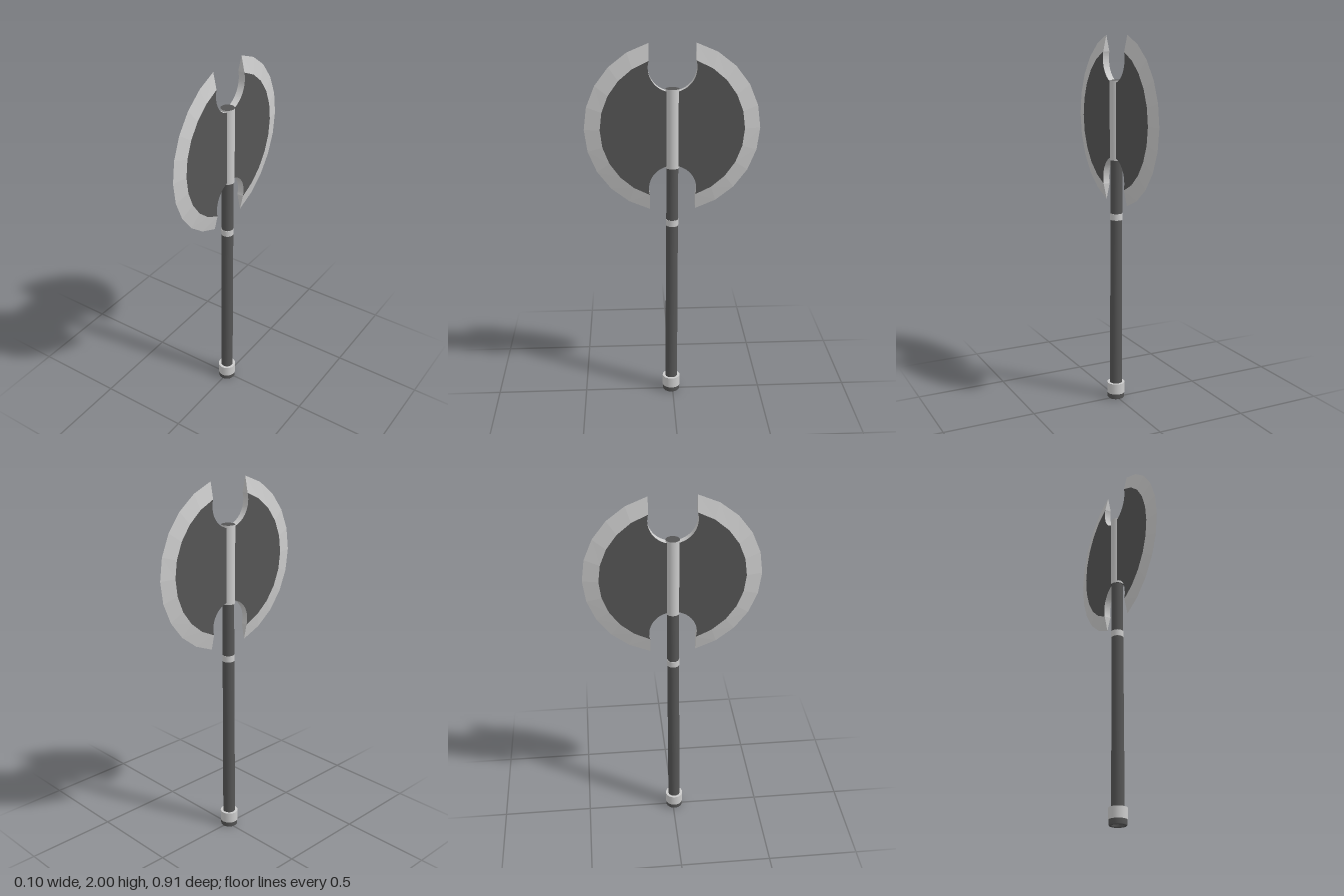
import * as THREE from 'three';

const rad = THREE.MathUtils.degToRad;
const light = new THREE.MeshStandardMaterial({ color: 0xcccccc });
const dark = new THREE.MeshStandardMaterial({ color: 0x555555 });
const edgeMat = new THREE.MeshStandardMaterial({ color: 0xcccccc, flatShading: true });

const CY = 1.56;      // height of the blade centre
const R_OUT = 0.457;  // sharp edge radius
const R_IN = 0.375;   // flat cheek radius
const HALF = 0.018;   // half thickness of the blade
const NOTCH = 0.125;  // radius of the notches beside the haft
const STEPS = 10;

// the arc points as [z, y], running from top to bottom, cut off at z = 0.12
function arc(r) {
  const end = Math.acos(0.12 / r);
  return Array.from({ length: STEPS + 1 }, (_, i) => {
    const a = end * (1 - (2 * i) / STEPS);
    return [r * Math.cos(a), CY + r * Math.sin(a)];
  });
}

// flat dark cheeks with light notch walls
function cheekGeometry() {
  const a0 = Math.acos(0.12 / NOTCH);
  const s = new THREE.Shape();
  const inner = arc(R_IN);
  s.moveTo(...inner[0]);
  inner.slice(1).forEach((p) => s.lineTo(...p));
  const off = inner[0][1] - CY - NOTCH * Math.sin(a0);
  s.absarc(0, CY - off, NOTCH, -a0, Math.PI / 2, false);
  s.lineTo(0, CY + off - NOTCH);
  s.absarc(0, CY + off, NOTCH, -Math.PI / 2, a0, false);
  const g = new THREE.ExtrudeGeometry(s, { depth: 2 * HALF, bevelEnabled: false, curveSegments: 14 });
  g.translate(0, 0, -HALF);
  g.rotateY(-Math.PI / 2);
  return g;
}

// wedge from the cheeks out to the sharp rim, closed at both tips
function edgeGeometry() {
  const inner = arc(R_IN), outer = arc(R_OUT);
  const pos = [], idx = [];
  for (let i = 0; i <= STEPS; i++) {
    const [z, y] = inner[i], [oz, oy] = outer[i];
    pos.push(HALF, y, z, 0, oy, oz, -HALF, y, z);
    if (i < STEPS) {
      const a = i * 3, b = a + 3;
      idx.push(a, a + 1, b, a + 1, b + 1, b);
      idx.push(a + 2, b + 2, a + 1, a + 1, b + 2, b + 1);
    }
  }
  const n = STEPS * 3;
  idx.push(0, 2, 1, n, n + 1, n + 2);
  const g = new THREE.BufferGeometry();
  g.setAttribute('position', new THREE.Float32BufferAttribute(pos, 3));
  g.setIndex(idx);
  g.computeVertexNormals();
  return g;
}

export function createModel() {
  const model = new THREE.Group();
  const add = (parent, name, geo, mat) => {
    const m = new THREE.Mesh(geo, mat);
    m.name = name;
    parent.add(m);
    return m;
  };
  const rod = (parent, name, y0, y1, rBottom, rTop, mat, open = false) => {
    const m = add(parent, name, new THREE.CylinderGeometry(rTop, rBottom, y1 - y0, 24, 1, open), mat);
    m.position.y = (y0 + y1) / 2;
    return m;
  };

  // two mirrored blades
  const cheeks = cheekGeometry(), edge = edgeGeometry();
  edgeMat.side = THREE.DoubleSide;
  ['frontBlade', 'backBlade'].forEach((name, i) => {
    const blade = new THREE.Group();
    blade.name = name;
    add(blade, name + 'Cheeks', cheeks, [dark, light]);
    add(blade, name + 'Edge', edge, edgeMat);
    blade.rotation.y = i * Math.PI;
    model.add(blade);
  });

  // socket that carries the blades
  rod(model, 'headSocket', 1.35, 1.77, 0.036, 0.036, [light, dark, dark]);

  // haft leans very slightly forward towards its foot
  const haft = new THREE.Group();
  haft.name = 'haft';
  haft.position.z = 0.008;
  haft.rotation.x = -rad(0.33);
  model.add(haft);
  rod(haft, 'shaft', 0.05, 1.36, 0.034, 0.031, dark);
  rod(haft, 'gripRing', 1.025, 1.06, 0.0335, 0.0335, light);
  rod(haft, 'pommelBand', 0.03, 0.09, 0.049, 0.049, light);

  // hollow pommel foot
  const foot = [[0.001, 0.02], [0.03, 0.02], [0.03, 0.02], [0.03, 0.004], [0.034, 0], [0.034, 0],
    [0.044, 0], [0.044, 0], [0.047, 0.004], [0.047, 0.032]].map((p) => new THREE.Vector2(...p));
  const cup = dark.clone();
  cup.side = THREE.DoubleSide;
  add(haft, 'pommelFoot', new THREE.LatheGeometry(foot, 24), cup);

  return model;
}
